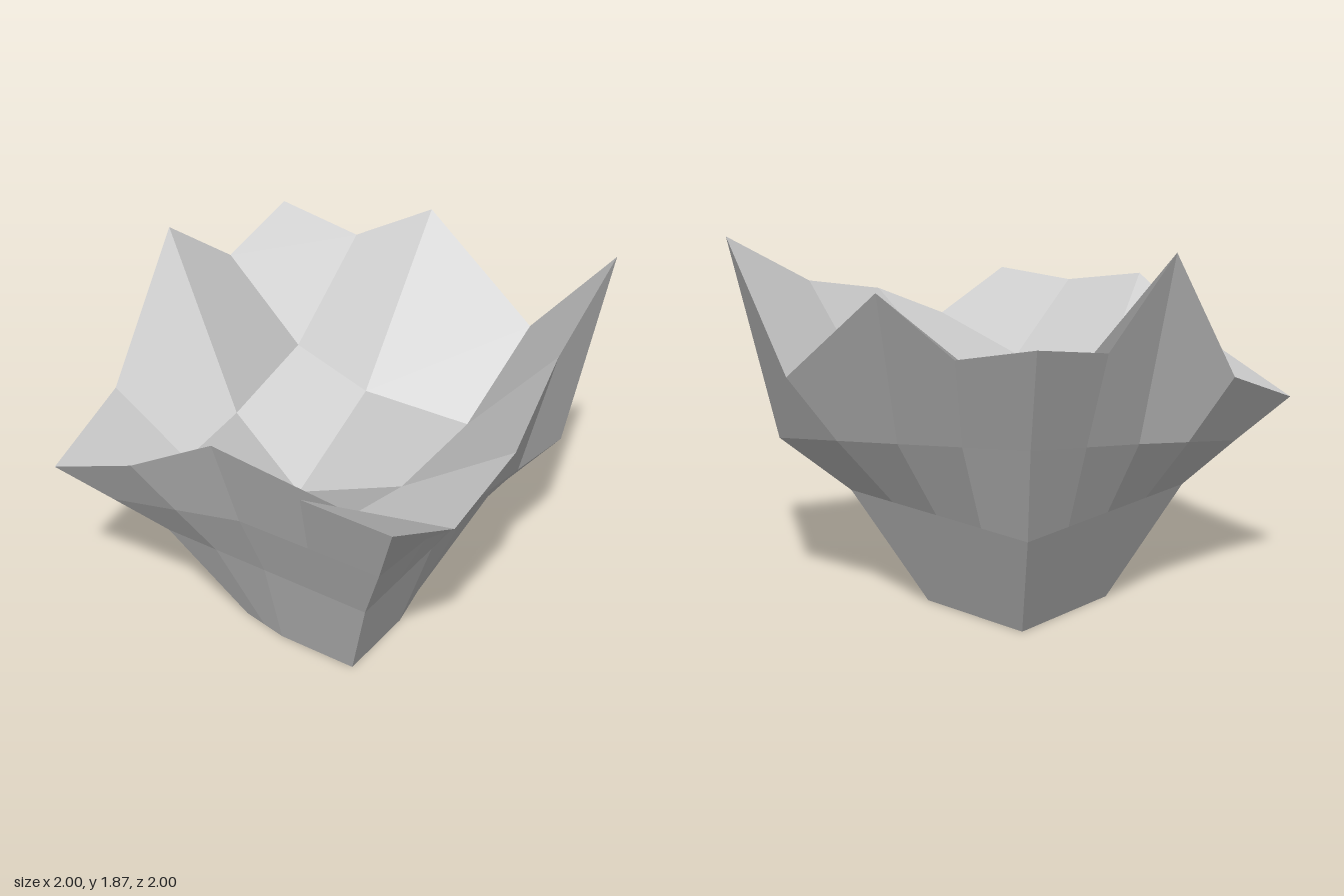
import * as THREE from 'three';

// Terrain grid: five rows from back to front, each of five [x, y, z] points from -x to +x
const GRID = [
  [[-1, 1.6, -0.88], [-0.59, 1.5, -0.94], [-0.18, 1.74, -1], [0.41, 1.26, -1], [0.89, 1.84, -0.92]],
  [[-1, 1.5, -0.41], [-0.59, 1.11, -0.41], [-0.18, 0.98, -0.41], [0.41, 1.0, -0.41], [0.88, 1.55, -0.41]],
  [[-1, 1.87, 0.06], [-0.59, 0.99, 0.12], [-0.18, 0.71, 0.18], [0.41, 0.98, 0.18], [1, 1.4, 0.18]],
  [[-1, 1.21, 0.53], [-0.56, 0.98, 0.56], [-0.12, 0.97, 0.59], [0.41, 1.07, 0.59], [0.94, 1.21, 0.59]],
  [[-1, 1.02, 1], [-0.53, 1.21, 1], [-0.06, 1.5, 1], [0.41, 1.4, 1], [0.88, 1.4, 1]],
];

// Rings are given as corner, side centre, corner, ... from front left round to the right
const MID = [[-0.81, 0.8, 0.82], [-0.06, 0.98, 0.82], [0.7, 0.99, 0.82], [0.755, 0.99, 0.12],
  [0.75, 0.85, -0.75], [-0.03, 0.97, -0.73], [-0.81, 1.09, -0.7], [-0.81, 0.95, 0.06]];
const LOW = [[-0.63, 0.58, 0.64], [-0.06, 0.58, 0.64], [0.51, 0.58, 0.64], [0.51, 0.58, 0.06],
  [0.51, 0.58, -0.51], [-0.06, 0.58, -0.51], [-0.63, 0.58, -0.51], [-0.63, 0.58, 0.06]];
const BASE = [[-0.37, 0, 0.38], [-0.12, 0, 0.43], [0.3, 0, 0.43], [0.3, 0, 0],
  [0.25, 0, -0.25], [-0.06, 0, -0.25], [-0.37, 0, -0.25], [-0.37, 0, 0.06]];

// Insert a midpoint after every point of a closed ring
const subdivide = (ring) => ring.flatMap((p, i) => {
  const q = ring[(i + 1) % ring.length];
  return [p, p.map((v, k) => (v + q[k]) / 2)];
});

// Faceted mesh: each four-cornered face gets one shared normal
function facetMesh(name, quads, material) {
  const positions = [], normals = [];
  for (const quad of quads) {
    const [a, b, c, d] = quad.map((p) => new THREE.Vector3(...p));
    const n = c.clone().sub(a).cross(d.clone().sub(b)).normalize();
    for (const p of [a, b, d, b, c, d]) {
      positions.push(p.x, p.y, p.z);
      normals.push(n.x, n.y, n.z);
    }
  }
  const geometry = new THREE.BufferGeometry();
  geometry.setAttribute('position', new THREE.Float32BufferAttribute(positions, 3));
  geometry.setAttribute('normal', new THREE.Float32BufferAttribute(normals, 3));
  const mesh = new THREE.Mesh(geometry, material);
  mesh.name = name;
  return mesh;
}

export function createModel() {
  const group = new THREE.Group();
  group.name = 'rockBasin';
  const material = new THREE.MeshStandardMaterial({ color: 0xcccccc });

  // Hollow upper surface
  const top = [];
  for (let r = 0; r < 4; r++) {
    for (let c = 0; c < 4; c++) {
      top.push([GRID[r][c], GRID[r + 1][c], GRID[r + 1][c + 1], GRID[r][c + 1]]);
    }
  }
  group.add(facetMesh('upperSurface', top, material));

  // Outer wall: base, low ring, middle ring and the grid's own border
  const rim = [];
  for (let i = 0; i < 4; i++) rim.push(GRID[4][i]);
  for (let i = 4; i > 0; i--) rim.push(GRID[i][4]);
  for (let i = 4; i > 0; i--) rim.push(GRID[0][i]);
  for (let i = 0; i < 4; i++) rim.push(GRID[i][0]);
  const rings = [subdivide(BASE), subdivide(LOW), subdivide(MID), rim];
  const wall = [];
  for (let k = 0; k < 3; k++) {
    for (let i = 0; i < 16; i++) {
      const j = (i + 1) % 16;
      wall.push([rings[k][i], rings[k][j], rings[k + 1][j], rings[k + 1][i]]);
    }
  }
  group.add(facetMesh('outerWall', wall, material));

  // Flat underside, in quads fanned about the middle
  const centre = [-0.04, 0, 0.09];
  const bottom = [];
  for (let i = 0; i < 16; i += 2) {
    bottom.push([centre, rings[0][(i + 2) % 16], rings[0][i + 1], rings[0][i]]);
  }
  group.add(facetMesh('underside', bottom, material));

  return group;
}
